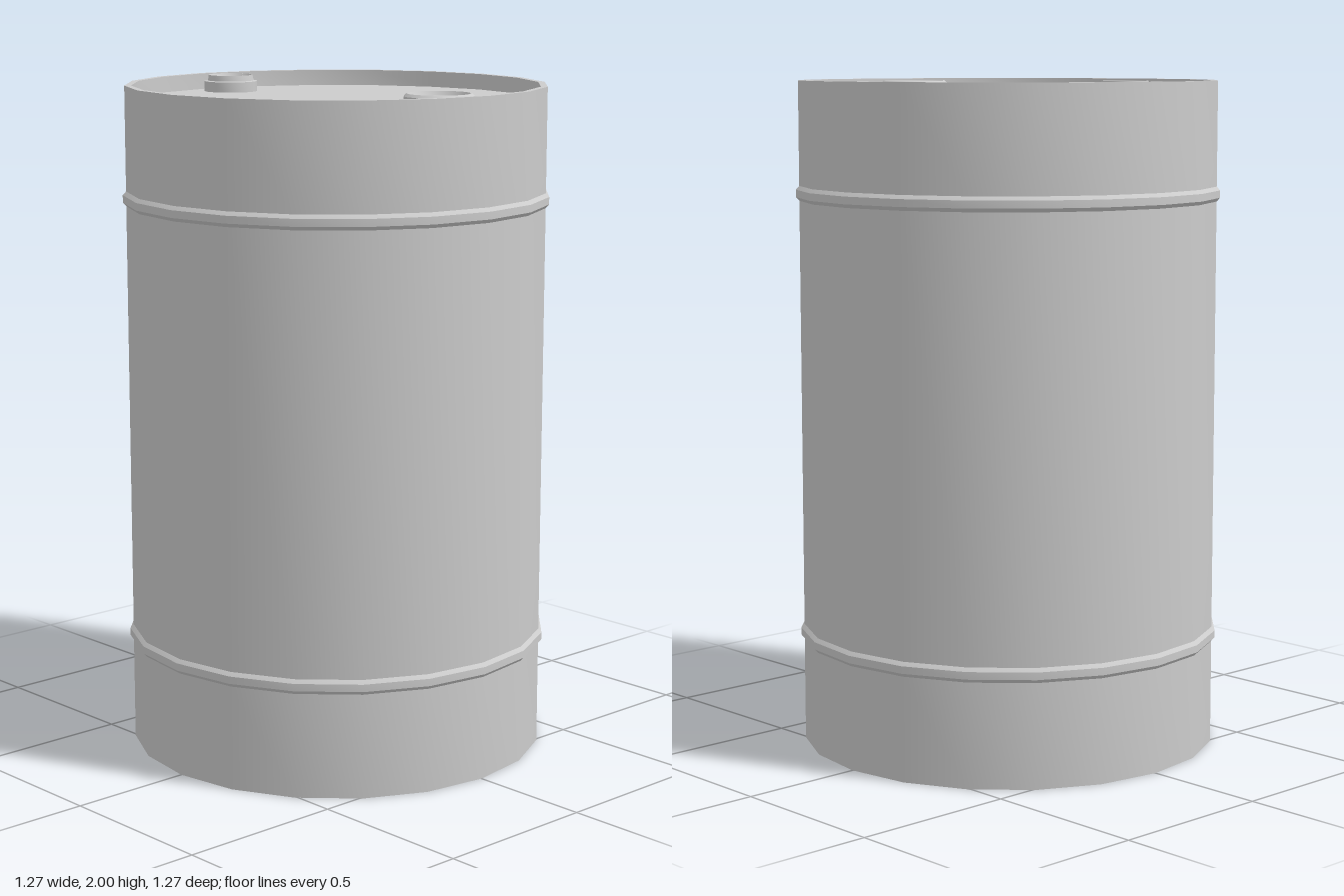
import * as THREE from 'three';
import { toCreasedNormals } from 'three/addons/utils/BufferGeometryUtils.js';

const material = new THREE.MeshStandardMaterial({ color: 0xcccccc });

// Revolves a [radius, height] profile, listed from bottom to top along the outside
function revolve(name, profile, sides) {
  const points = profile.map(([r, y]) => new THREE.Vector2(r, y));
  const geometry = toCreasedNormals(new THREE.LatheGeometry(points, sides), 0.45);
  const mesh = new THREE.Mesh(geometry, material);
  mesh.name = name;
  return mesh;
}

export function createModel() {
  const group = new THREE.Group();
  group.name = 'drum';
  const R = 0.627, inner = 0.607, recess = 0.048, sides = 20;
  const lid = 2 - recess;

  // Rolling hoop cross-section, part of the wall profile
  const hoop = (y) => [
    [R, y - 0.022], [R + 0.01, y - 0.011], [R + 0.01, y + 0.011], [R, y + 0.022],
  ];

  // Shell with recessed bottom and lid, two hoops and flat rims
  group.add(revolve('barrelShell', [
    [0, recess], [inner, recess], [inner, 0], [R, 0],
    ...hoop(0.335), ...hoop(1.667),
    [R, 2], [inner, 2], [inner, lid], [0, lid],
  ], sides));

  // Large filler cap: low collar with a shallow dish
  const largeCap = revolve('largeCap', [
    [0.102, lid], [0.102, 1.988], [0.094, 1.996], [0.09, 1.996], [0.08, 1.978], [0, 1.978],
  ], sides);
  largeCap.position.z = 0.428;
  group.add(largeCap);

  // Small vent cap: stepped collar with a raised ring
  const smallCap = revolve('smallCap', [
    [0.082, lid], [0.082, 1.983], [0.071, 1.985], [0.068, 2.002], [0.066, 2.002], [0.059, 1.99], [0, 1.99],
  ], sides);
  smallCap.position.set(0.004, 0, -0.487);
  group.add(smallCap);

  return group;
}
